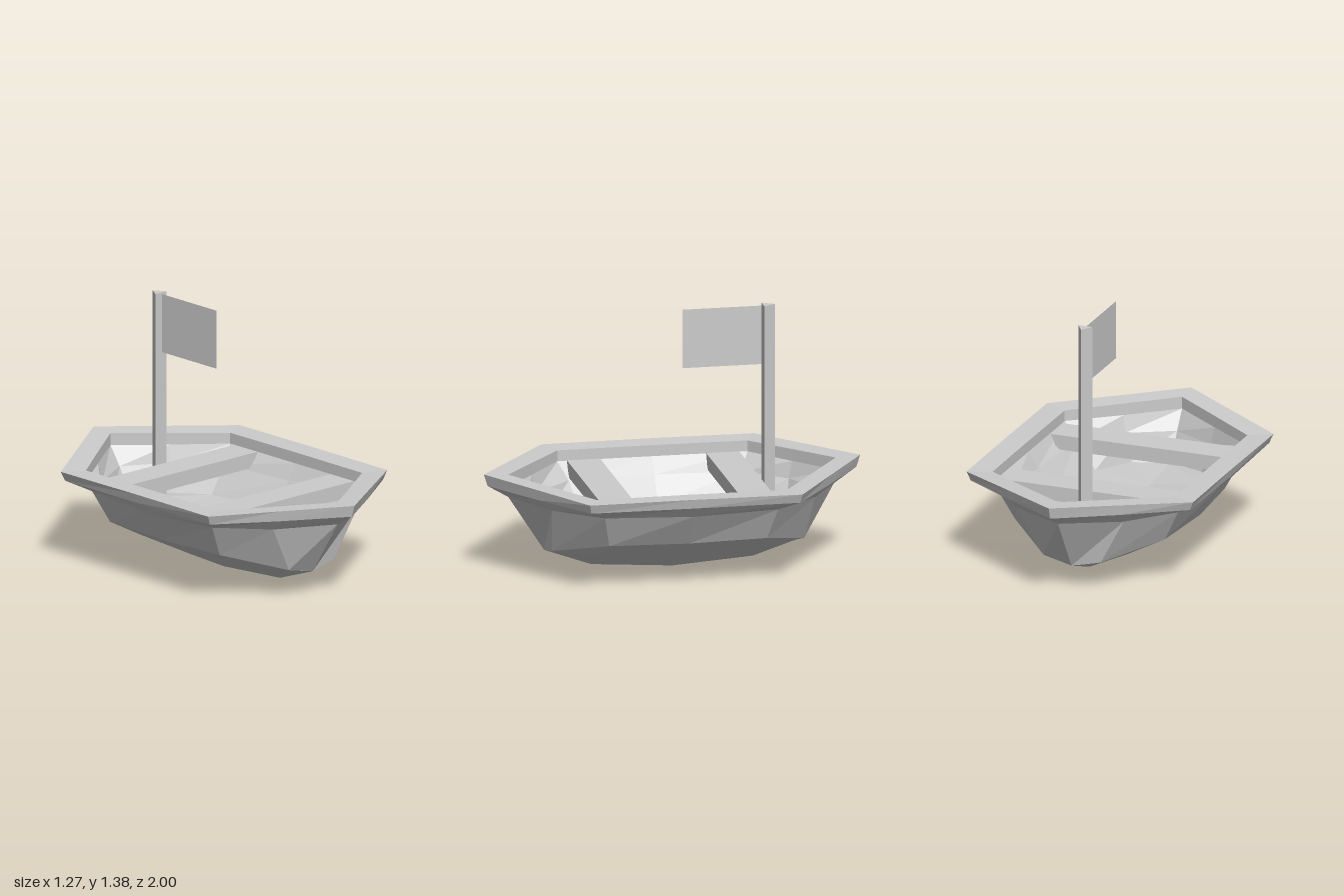
import * as THREE from 'three';

const material = new THREE.MeshStandardMaterial({ color: 0xcccccc, flatShading: true });
const thinMaterial = new THREE.MeshStandardMaterial({ color: 0xcccccc, flatShading: true, side: THREE.DoubleSide });

// Mirror a quarter outline (bow, bow shoulder, quarter, midship) into a closed ring of 12 points
function ring([bow, shoulder, quarter, mid]) {
  const flip = ([x, y, z], sx, sz) => [x * sx, y, z * sz];
  const side = [bow, shoulder, quarter, mid, flip(quarter, 1, -1), flip(shoulder, 1, -1)];
  return [...side, ...side.map((p) => flip(p, -1, -1))];
}

// Skin a list of rings
function loft(rings) {
  const positions = rings.flat(2);
  const index = [];
  const n = rings[0].length;
  for (let i = 0; i < rings.length - 1; i++) {
    for (let j = 0; j < n; j++) {
      const k = (j + 1) % n;
      const a = i * n + j, b = i * n + k;
      index.push(a, b, b + n, a, b + n, a + n);
    }
  }
  const geometry = new THREE.BufferGeometry();
  geometry.setAttribute('position', new THREE.Float32BufferAttribute(positions, 3));
  geometry.setIndex(index);
  geometry.computeVertexNormals();
  return geometry;
}

function add(group, name, geometry, mat = material) {
  const mesh = new THREE.Mesh(geometry, mat);
  mesh.name = name;
  group.add(mesh);
  return mesh;
}

export function createModel() {
  const boat = new THREE.Group();
  boat.name = 'rowingBoat';

  // Ring outlines, each a quarter: bow, bow shoulder, quarter, midship
  const keel = ring([[0, 0.12, 0.68], [0, 0.12, 0.68], [0, 0.03, 0.43], [0, 0, 0]]);
  const bilge = ring([[0, 0.12, 0.68], [0.08, 0.137, 0.675], [0.21, 0.125, 0.42], [0.24, 0.115, 0]]);
  const chine = ring([[0, 0.12, 0.68], [0.16, 0.155, 0.67], [0.42, 0.235, 0.42], [0.45, 0.235, 0]]);
  const topside = ring([[0, 0.415, 0.87], [0.3, 0.41, 0.7], [0.51, 0.41, 0.46], [0.57, 0.41, 0]]);
  const rimUnder = ring([[0, 0.48, 0.98], [0.31, 0.472, 0.77], [0.615, 0.468, 0.555], [0.62, 0.468, 0]]);
  const rimOuter = ring([[0, 0.543, 1], [0.32, 0.53, 0.78], [0.635, 0.517, 0.565], [0.635, 0.519, 0]]);
  const rimInner = ring([[0, 0.535, 0.87], [0.255, 0.524, 0.69], [0.512, 0.513, 0.505], [0.512, 0.515, 0]]);
  const rimInnerLow = ring([[0, 0.47, 0.87], [0.255, 0.46, 0.69], [0.512, 0.455, 0.505], [0.512, 0.455, 0]]);
  const wall = ring([[0, 0.37, 0.8], [0.24, 0.37, 0.67], [0.43, 0.37, 0.46], [0.46, 0.37, 0]]);
  const floorEdge = ring([[0, 0.22, 0.72], [0.2, 0.22, 0.65], [0.31, 0.235, 0.43], [0.36, 0.235, 0]]);
  const floorMiddle = ring([[0, 0.22, 0.72], [0, 0.22, 0.7], [0, 0.2, 0.43], [0, 0.19, 0]]);

  add(boat, 'hull', loft([keel, bilge, chine, topside, rimUnder]));
  add(boat, 'rim', loft([rimUnder, rimOuter, rimInner, rimInnerLow]));
  add(boat, 'innerHull', loft([rimInnerLow, wall, floorEdge, floorMiddle]));

  // Two benches, tapered toward the underside to follow the hull
  for (const [name, z] of [['frontBench', 0.368], ['backBench', -0.372]]) {
    const geometry = new THREE.BoxGeometry(1, 0.08, 0.176);
    const p = geometry.attributes.position;
    for (let i = 0; i < p.count; i++) {
      if (p.getY(i) < 0) p.setX(i, p.getX(i) * 0.93);
    }
    add(boat, name, geometry).position.set(0, 0.42, z);
  }

  // Three-sided mast, ridge facing the stern
  const section = new THREE.Shape([[0, 0.547], [-0.039, 0.483], [0.039, 0.483]].map(([x, y]) => new THREE.Vector2(x, y)));
  const mast = new THREE.ExtrudeGeometry(section, { depth: 1.18, bevelEnabled: false });
  mast.rotateX(-Math.PI / 2);
  add(boat, 'mast', mast).position.y = 0.2;

  // Flat flag
  const flag = new THREE.PlaneGeometry(0.418, 0.315);
  flag.rotateY(Math.PI / 2);
  add(boat, 'flag', flag, thinMaterial).position.set(0, 1.217, -0.266);

  return boat;
}
